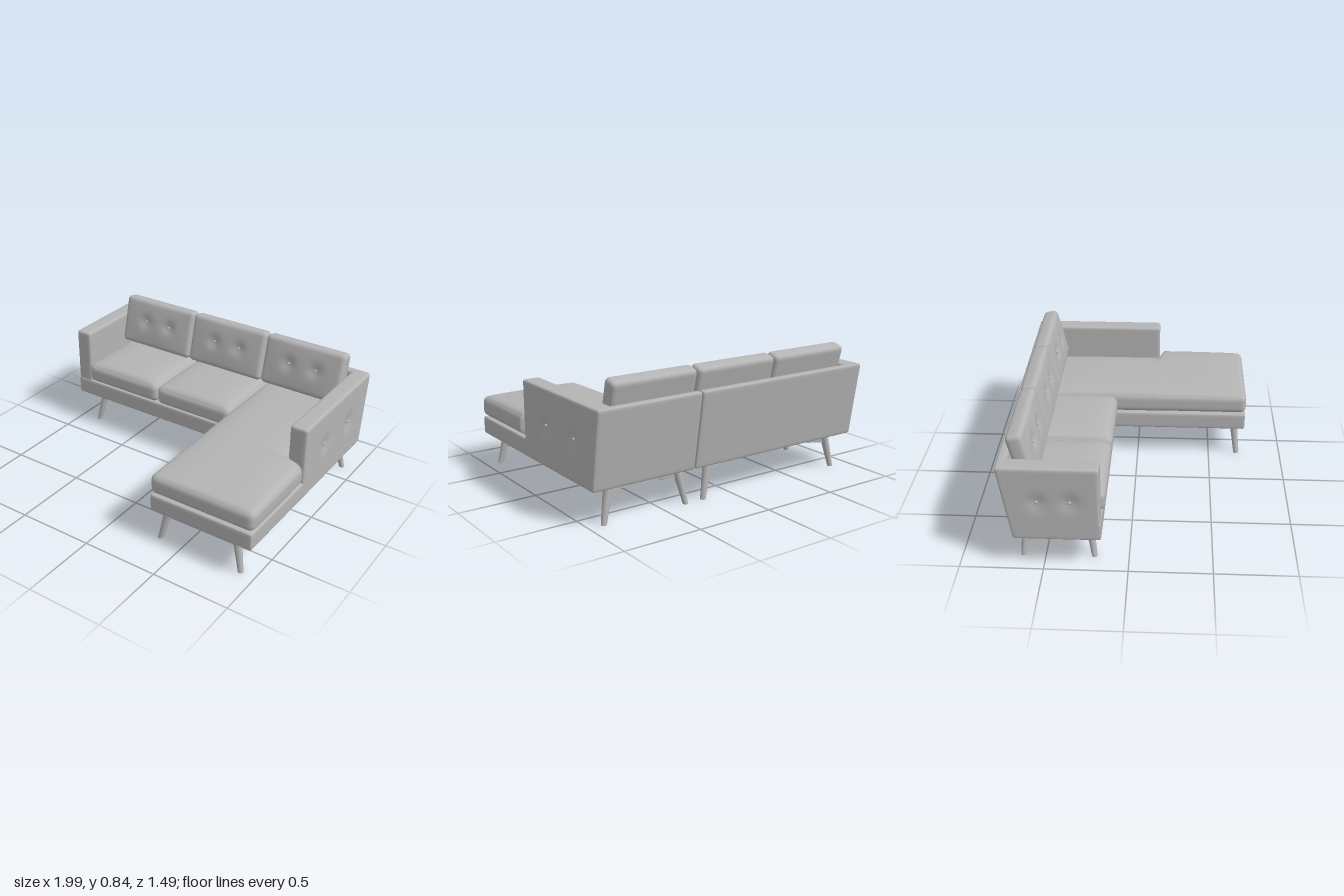
import * as THREE from 'three';
import { mergeVertices } from 'three/addons/utils/BufferGeometryUtils.js';

const fabric = new THREE.MeshStandardMaterial({ color: 0xb4b4b4 });
fabric.name = 'grey';

const BOTTOM = 0.213, TOP = 0.7, BASE_TOP = 0.333, BACK = -0.745;

// Rounded box between two corners, its vertices then moved by an optional rule
function softBox(name, min, max, r, seg, rule) {
  const raw = new THREE.BoxGeometry(2, 2, 2, ...seg);
  raw.deleteAttribute('normal');
  raw.deleteAttribute('uv');
  const geo = mergeVertices(raw);
  const lo = new THREE.Vector3(...min), hi = new THREE.Vector3(...max);
  const mid = lo.clone().add(hi).multiplyScalar(0.5);
  const half = hi.clone().sub(lo).multiplyScalar(0.5);
  const core = half.clone().subScalar(r), coreNeg = core.clone().negate();
  const pos = geo.attributes.position;
  const p = new THREE.Vector3(), u = new THREE.Vector3(), c = new THREE.Vector3();
  for (let i = 0; i < pos.count; i++) {
    u.fromBufferAttribute(pos, i);
    // pack the grid towards the edges so the rounding is smooth
    u.set(...u.toArray().map((t) => Math.sin((t * Math.PI) / 2)));
    p.copy(u).multiply(half);
    c.copy(p).clamp(coreNeg, core);
    p.sub(c);
    if (p.lengthSq() > 0) p.setLength(r);
    p.add(c).add(mid);
    if (rule) rule(p, u);
    pos.setXYZ(i, p.x, p.y, p.z);
  }
  geo.computeVertexNormals();
  const mesh = new THREE.Mesh(geo, fabric);
  mesh.name = name;
  return mesh;
}

// The rear face leans back towards the top; w is 1 at the rear and 0 at the front
const lean = (p, w) => { p.z += 0.155 * (TOP - p.y) * w; };
const slantRear = (front) => (p) => lean(p, (front - p.z) / (front - BACK));

// Pressed-in dimple around a button
const dimple = (a, b, depth, size) => depth * Math.exp(-(a * a + b * b) / (size * size));

// Domed top for seat cushions
const crown = (p, u) => {
  if (u.y > 0) p.y += 0.03 * u.y * (1 - u.x ** 4) * (1 - u.z ** 4);
};

function button(x, y, z) {
  const mesh = new THREE.Mesh(new THREE.SphereGeometry(0.011, 12, 8), fabric);
  mesh.name = 'button';
  mesh.position.set(x, y, z);
  return mesh;
}

// Arm with two buttons on its outer side (side is the sign of x)
function arm(name, x0, x1, front, side, buttonZ) {
  const group = new THREE.Group();
  group.name = name;
  const slant = slantRear(front);
  group.add(softBox(name + 'Panel', [x0, BOTTOM, BACK], [x1, TOP, front], 0.018, [10, 32, 44], (p, u) => {
    slant(p);
    if (u.x * side > 0.9)
      for (const z of buttonZ) p.x -= side * dimple(p.y - 0.47, p.z - z, 0.014, 0.05);
  }));
  const outer = side > 0 ? x1 : x0;
  for (const z of buttonZ) group.add(button(outer - side * 0.012, 0.47, z));
  return group;
}

// Leaning back cushion with two buttons
function backCushion(x0, x1) {
  const group = new THREE.Group();
  group.name = 'backCushion';
  const w = (x1 - x0) / 2, h = 0.168, d = 0.05, by = 0.01;
  group.add(softBox('backCushionPad', [-w, -h, -d], [w, h, d], 0.03, [44, 32, 10], (p, u) => {
    if (u.z <= 0) return;
    p.z += 0.012 * u.z * (1 - u.x ** 2) * (1 - u.y ** 2);
    for (const x of [-0.098, 0.098]) p.z -= u.z * dimple(p.x - x, p.y - by, 0.016, 0.045);
  }));
  for (const x of [-0.098, 0.098]) group.add(button(x, by, d - 0.004));
  group.position.set((x0 + x1) / 2, 0.67, -0.613);
  group.rotation.x = -0.24;
  return group;
}

// Splayed tapered leg with a bracket pointing inwards under the frame
function leg(footX, footZ, topX, topZ) {
  const group = new THREE.Group();
  group.name = 'leg';
  const height = BOTTOM + 0.01;
  const geo = new THREE.CylinderGeometry(0.028, 0.017, height, 20);
  geo.translate(0, height / 2, 0);
  const pos = geo.attributes.position;
  for (let i = 0; i < pos.count; i++) {
    const t = pos.getY(i) / height;
    pos.setX(i, pos.getX(i) + THREE.MathUtils.lerp(footX, topX, t));
    pos.setZ(i, pos.getZ(i) + THREE.MathUtils.lerp(footZ, topZ, t));
  }
  geo.computeVertexNormals();
  const post = new THREE.Mesh(geo, fabric);
  post.name = 'legPost';

  const dx = 0.13 * Math.sign(topX - footX), dz = 0.045 * Math.sign(topZ - footZ);
  const length = Math.hypot(dx, dz);
  const side = new THREE.Shape([[0, 0], [length - 0.015, 0.006], [length, 0.02], [length, 0.05], [0, 0.05]]
    .map(([x, y]) => new THREE.Vector2(x, y)));
  const plate = new THREE.ExtrudeGeometry(side, { depth: 0.026, bevelEnabled: false });
  plate.translate(0, 0, -0.013);
  const bracket = new THREE.Mesh(plate, fabric);
  bracket.name = 'legBracket';
  bracket.position.set(topX, BOTTOM - 0.045, topZ);
  bracket.rotation.y = Math.atan2(-dz, dx);
  group.add(post, bracket);
  return group;
}

export function createModel() {
  const model = new THREE.Group();
  model.name = 'cornerSofa';

  // Two-seat part: base, back and left arm
  const sofa = new THREE.Group();
  sofa.name = 'twoSeatPart';
  sofa.add(softBox('sofaBase', [-0.995, BOTTOM, BACK], [0.286, BASE_TOP, -0.155], 0.015, [24, 10, 16], slantRear(-0.155)));
  sofa.add(softBox('sofaBack', [-0.995, BOTTOM, BACK], [0.286, TOP, -0.69], 0.015, [30, 24, 10], (p) => lean(p, 1)));
  sofa.add(arm('leftArm', -0.995, -0.882, -0.16, -1, [-0.33, -0.52]));
  sofa.add(softBox('seatCushion', [-0.884, 0.338, -0.69], [-0.297, 0.468, -0.137], 0.04, [28, 16, 28], crown));
  sofa.add(softBox('seatCushion', [-0.293, 0.338, -0.69], [0.285, 0.468, -0.137], 0.04, [28, 16, 28], crown));

  // Long seat part: base, back and right arm
  const chaise = new THREE.Group();
  chaise.name = 'longSeatPart';
  chaise.add(softBox('longSeatBase', [0.291, BOTTOM, BACK], [0.988, 0.33, 0.742], 0.015, [16, 10, 28], slantRear(0.742)));
  chaise.add(softBox('longSeatBack', [0.291, BOTTOM, BACK], [0.988, TOP, -0.69], 0.015, [20, 24, 10], (p) => lean(p, 1)));
  chaise.add(arm('rightArm', 0.875, 0.99, 0.137, 1, [-0.13, -0.455]));

  // Long cushion, narrowed where it passes the arm
  chaise.add(softBox('longSeatCushion', [0.29, 0.336, -0.69], [0.993, 0.468, 0.744], 0.04, [32, 16, 110], (p, u) => {
    crown(p, u);
    const beside = 1 - THREE.MathUtils.smoothstep(p.z, 0.135, 0.165);
    p.x -= 0.117 * beside * (p.x - 0.29) / 0.703;
  }));
  model.add(sofa, chaise);

  // Back cushions
  for (const [x0, x1] of [[-0.876, -0.298], [-0.294, 0.284], [0.289, 0.867]]) model.add(backCushion(x0, x1));

  // Legs: foot and top positions along x and z
  const rear = [-0.635, -0.61];
  const sets = [
    { xs: [[-0.862, -0.815], [0.205, 0.155]], zs: [[-0.207, -0.24], rear] },
    { xs: [[0.335, 0.385], [0.902, 0.855]], zs: [[0.695, 0.67], rear] },
  ];
  for (const { xs, zs } of sets)
    for (const [footX, topX] of xs)
      for (const [footZ, topZ] of zs) model.add(leg(footX, footZ, topX, topZ));

  return model;
}
